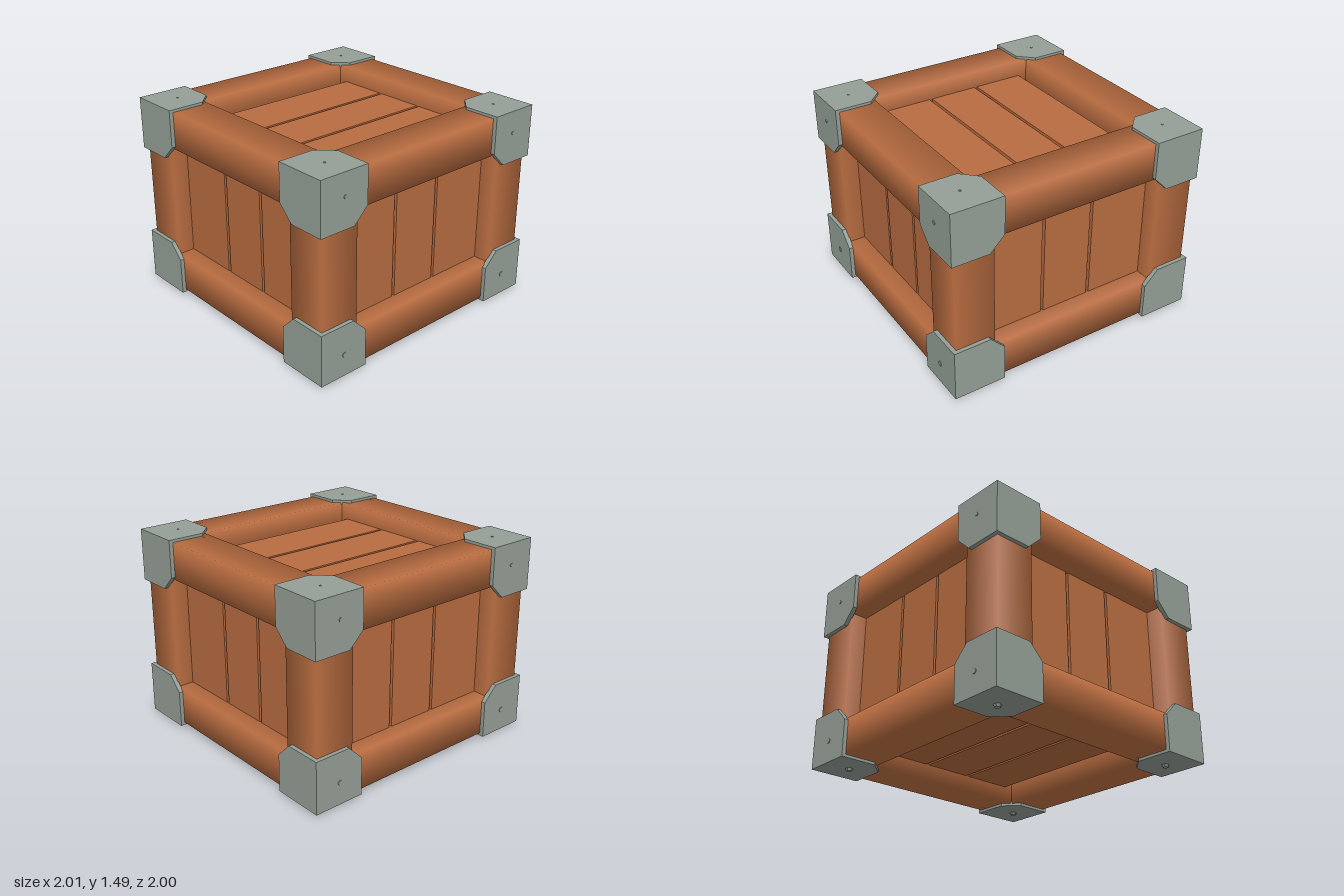
import * as THREE from 'three';

const MID = 0.755;              // height of the crate's centre
const HX = 1, HY = 0.735;       // half sizes over the metal corners
const wood = new THREE.MeshStandardMaterial({ name: 'wood', color: 0xb86c40 });
const metal = new THREE.MeshStandardMaterial({ name: 'metal', color: 0x949f96 });

function add(parent, name, geometry, material, x = 0, y = 0, z = 0) {
  const mesh = new THREE.Mesh(geometry, material);
  mesh.name = name;
  mesh.position.set(x, y, z);
  parent.add(mesh);
  return mesh;
}

// Square timber along one axis, softly shaded round its four sides
function timber(axis, half, sx, sy, sz) {
  const g = new THREE.CylinderGeometry(Math.SQRT1_2, Math.SQRT1_2, 1, 4, 1, true, Math.PI / 4);
  if (axis === 'x') g.rotateZ(-Math.PI / 2);
  if (axis === 'z') g.rotateX(Math.PI / 2);
  return g.scale(sx, sy, sz);
}

// Three chamfered plates meeting at the outer corner (local origin)
function cornerBracket() {
  const group = new THREE.Group();
  const s = 0.39, c = 0.28, t = 0.035;
  const outline = new THREE.Shape([[0, 0], [-s, 0], [-s, -c], [-c, -s], [0, -s]]
    .map(([x, y]) => new THREE.Vector2(x, y)));
  const diagonal = new THREE.Vector3(1, 1, 1).normalize();
  for (let i = 0; i < 3; i++) {
    const g = new THREE.ExtrudeGeometry(outline, { depth: t, bevelEnabled: false });
    g.translate(0, 0, -t);
    g.applyMatrix4(new THREE.Matrix4().makeRotationAxis(diagonal, i * Math.PI * 2 / 3));
    add(group, 'bracketPlate', g, metal);
  }
  return group;
}

export function createModel() {
  const model = new THREE.Group();
  model.name = 'crate';
  const crate = new THREE.Group();
  crate.name = 'crateBody';
  crate.position.y = MID;
  model.add(crate);

  // Frame: twelve timbers
  const w = 0.3, h = 0.28, off = 0.82, offY = 0.575;
  for (const a of [-1, 1]) {
    for (const b of [-1, 1]) {
      add(crate, 'railX', timber('x', 0, 1.94, h, w), wood, 0, a * offY, b * off);
      add(crate, 'railZ', timber('z', 0, w, h, 1.94), wood, b * off, a * offY, 0);
      add(crate, 'post', timber('y', 0, w, 1.42, w), wood, a * off, 0, b * off);
    }
  }

  // Panels: three recessed boards on each of the six sides
  const t = 0.04, sideAt = 0.82, lidAt = 0.57;
  for (const s of [-1, 1]) {
    for (const i of [-1, 0, 1]) {
      const sideWidth = i ? 0.48 : 0.375;
      const at = i * 0.45;
      add(crate, 'frontBackBoard', new THREE.BoxGeometry(sideWidth, 1.1, t), wood, at, 0, s * sideAt);
      add(crate, 'sideBoard', new THREE.BoxGeometry(t, 1.1, sideWidth), wood, s * sideAt, 0, at);
      add(crate, 'topBottomBoard', new THREE.BoxGeometry(i ? 0.39 : 0.375, t, 1.6), wood,
        i * 0.405, s * lidAt, 0);
    }
  }

  // Metal corners: four turns on top, four more upside down
  for (const flip of [0, Math.PI]) {
    const ring = new THREE.Group();
    ring.name = flip ? 'bottomCorners' : 'topCorners';
    ring.rotation.x = flip;
    crate.add(ring);
    for (let k = 0; k < 4; k++) {
      const arm = new THREE.Group();
      arm.name = 'corner';
      arm.rotation.y = k * Math.PI / 2;
      const bracket = cornerBracket();
      bracket.name = 'cornerBracket';
      bracket.position.set(HX, HY, HX);
      arm.add(bracket);
      ring.add(arm);
    }
  }

  // Rivets on the left, right, top and bottom plates
  const rivet = (r, out) => new THREE.CylinderGeometry(r * 0.6, r, out + 0.02, 6)
    .translate(0, (out - 0.02) / 2, 0).toNonIndexed();
  const rivetGeometry = (r, out) => {
    const g = rivet(r, out);
    g.computeVertexNormals();
    return g;
  };
  for (const sx of [-1, 1]) {
    for (const sz of [-1, 1]) {
      for (const sy of [-1, 1]) {
        add(crate, 'sideRivet', rivetGeometry(sy < 0 ? 0.03 : 0.022, 0.004), metal,
          sx * HX, sy * 0.57, sz * 0.8).rotation.z = -sx * Math.PI / 2;
      }
      add(crate, 'topRivet', rivetGeometry(0.014, 0.004), metal, sx * 0.81, HY, sz * 0.8);
      add(crate, 'bottomRivet', rivetGeometry(0.035, 0.02), metal, sx * 0.81, -HY, sz * 0.8)
        .rotation.x = Math.PI;
    }
  }
  return model;
}
